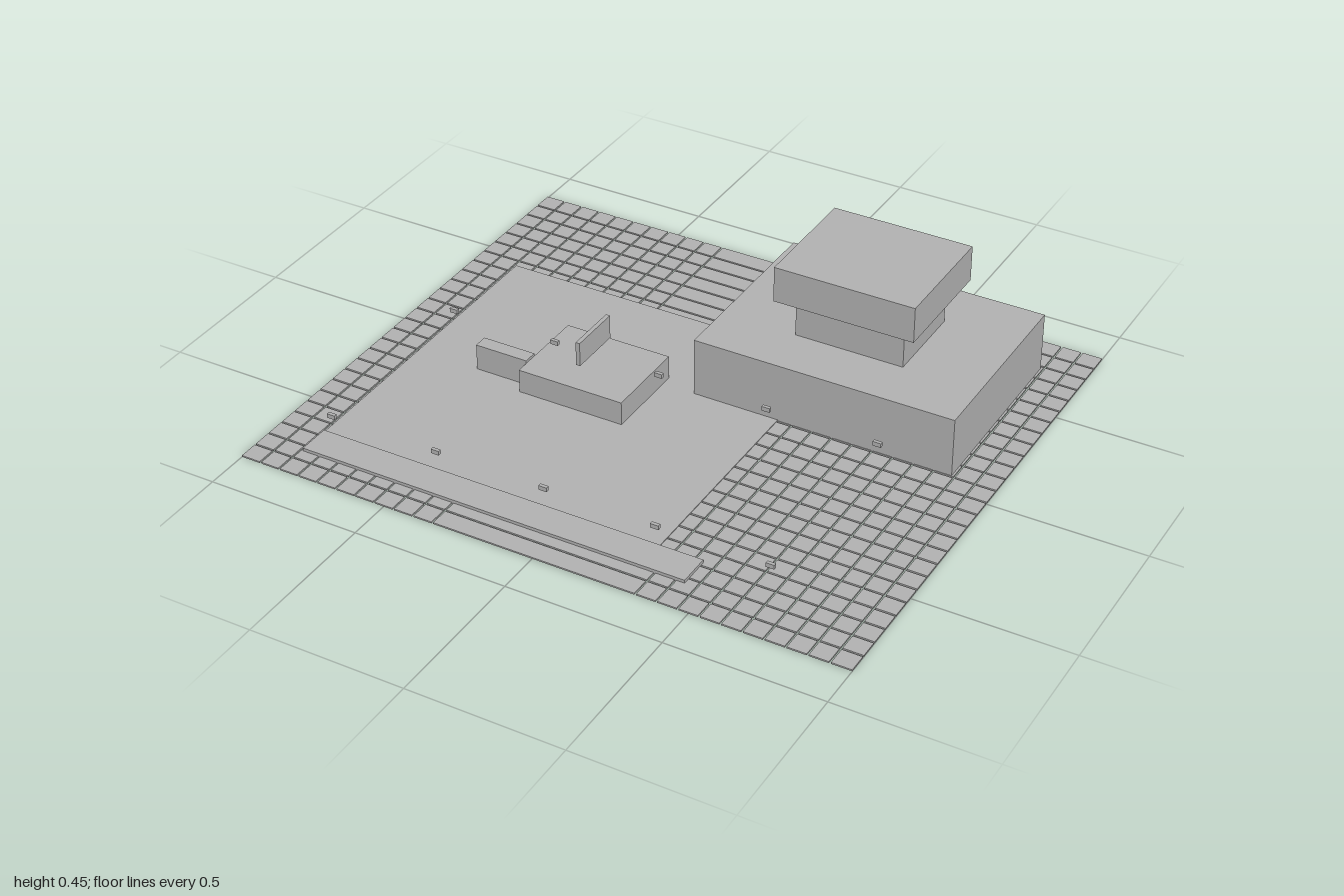
import * as THREE from 'three';
import { mergeGeometries } from 'three/addons/utils/BufferGeometryUtils.js';

// Box geometry given by its limits on each axis
function span(x0, x1, y0, y1, z0, z1) {
  return new THREE.BoxGeometry(x1 - x0, y1 - y0, z1 - z0)
    .translate((x0 + x1) / 2, (y0 + y1) / 2, (z0 + z1) / 2);
}

export function createModel() {
  const model = new THREE.Group();
  model.name = 'siteModel';
  const grey = new THREE.MeshStandardMaterial({ color: 0xb2b2b2 });
  grey.name = 'concreteGrey';

  function add(name, geometry, parent = model) {
    const mesh = new THREE.Mesh(geometry, grey);
    mesh.name = name;
    parent.add(mesh);
    return mesh;
  }
  function addGroup(name) {
    const group = new THREE.Group();
    group.name = name;
    model.add(group);
    return group;
  }

  // Paving: rows of tiles either side of long central slabs, with narrow open joints
  const columns = 30, rows = 26, halfDepth = 0.857, joint = 0.003;
  const px = 2 / columns, pz = (2 * halfDepth) / rows;
  const tiles = [];
  for (let r = 0; r < rows; r++) {
    const z0 = -halfDepth + r * pz + (r > 0 ? joint : 0);
    const z1 = -halfDepth + (r + 1) * pz - (r < rows - 1 ? joint : 0);
    for (let c = 0; c < columns; c++) {
      if (c > 10 && c < 20) continue;
      const end = c === 10 ? 20 : c + 1;
      const x0 = -1 + c * px + (c > 0 ? joint : 0);
      const x1 = -1 + end * px - (end < columns ? joint : 0);
      tiles.push(span(x0, x1, 0, 0.005, z0, z1));
    }
  }
  add('pavingTiles', mergeGeometries(tiles));

  // Open yard and the kerb along its front edge
  add('yardSlab', span(-0.857, 0.286, 0.001, 0.008, -0.43, 0.643));
  add('frontKerb', span(-0.857, 0.429, 0.001, 0.015, 0.643, 0.75));

  // Main building with its stacked tower
  const building = addGroup('building');
  add('buildingBase', span(0, 0.857, 0.002, 0.2, -0.714, -0.071), building);
  add('towerNeck', span(0.25, 0.607, 0.2, 0.332, -0.532, -0.246), building);
  add('towerTop', span(0.2, 0.66, 0.332, 0.45, -0.589, -0.195), building);

  // Low block in the yard with side arm and raised fin
  const block = addGroup('yardBlock');
  add('blockBody', span(-0.464, -0.107, 0.008, 0.086, -0.107, 0.179), block);
  add('blockArm', span(-0.643, -0.464, 0.008, 0.095, 0.09, 0.137), block);
  add('blockFin', span(-0.294, -0.28, 0.13, 0.21, -0.052, 0.126), block);

  // Two rows of small hanging lamps
  const lamps = addGroup('lamps');
  for (const z of [0.141, 0.786]) {
    for (let i = -2; i <= 2; i++) {
      const lamp = add('lamp', new THREE.BoxGeometry(0.026, 0.014, 0.011), lamps);
      lamp.position.set(i * 0.357, 0.2, z);
    }
  }

  return model;
}
